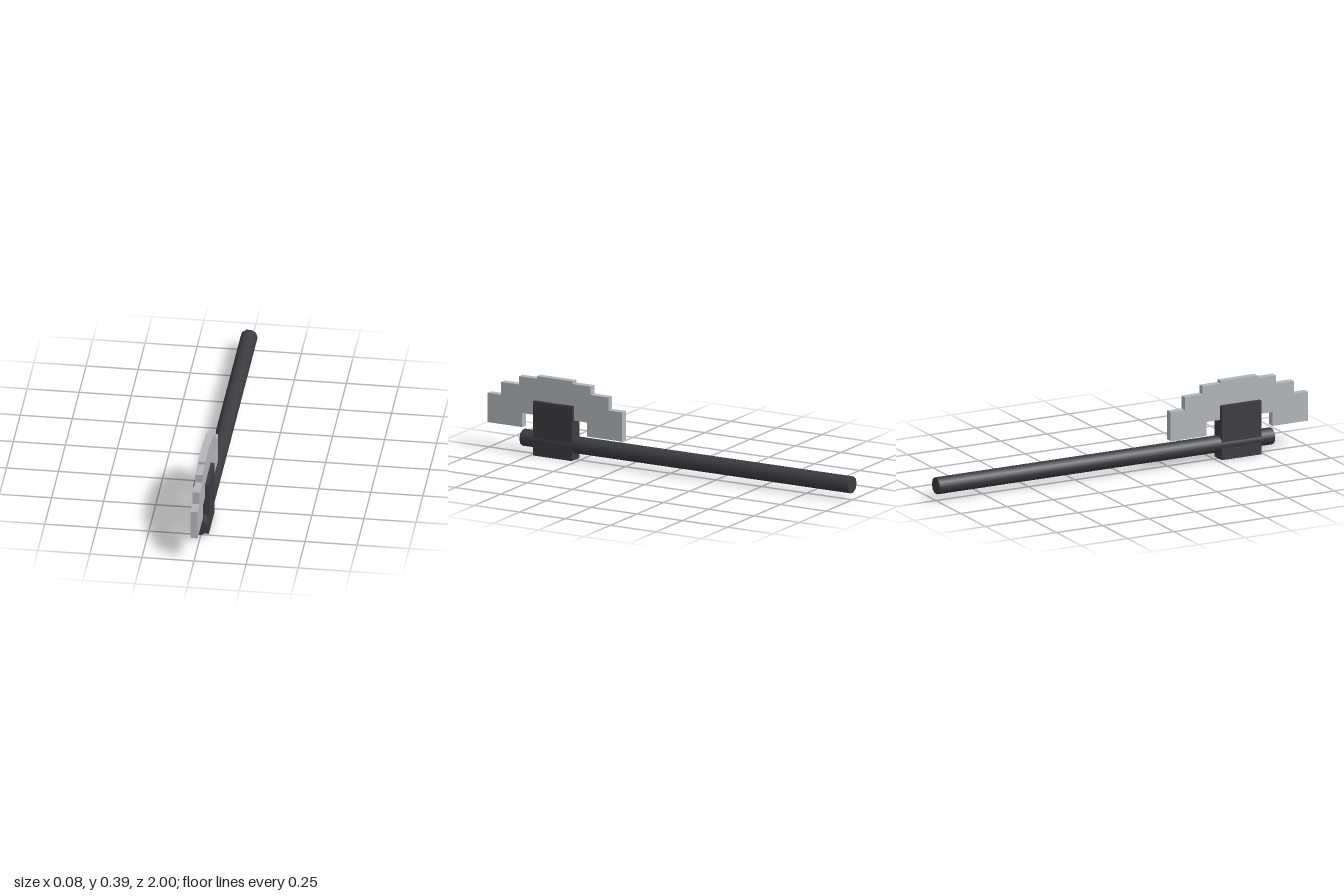
import * as THREE from 'three';

export function createModel() {
  const model = new THREE.Group();
  const dark = new THREE.MeshStandardMaterial({ name: 'darkMetal', color: 0x3d3c41 });
  const steel = new THREE.MeshStandardMaterial({ name: 'paleSteel', color: 0xb5b6ba });

  const add = (name, geometry, material, x, y, z) => {
    const mesh = new THREE.Mesh(geometry, material);
    mesh.name = name;
    mesh.position.set(x, y, z);
    model.add(mesh);
    return mesh;
  };

  // Ten-sided shaft lying along z, with corners pointing to the sides
  const shaft = new THREE.CylinderGeometry(0.041, 0.041, 1.81, 10);
  shaft.rotateY(Math.PI / 2).rotateX(Math.PI / 2);
  add('shaft', shaft, dark, 0, 0.073, -0.095);

  // Block that holds the blade on the shaft
  add('clamp', new THREE.BoxGeometry(0.073, 0.267, 0.214), dark, 0, 0.1335, 0.631);

  // Stepped blade: half outline as [distance from centre, height], mirrored
  const half = [
    [0.099, 0.387], [0.099, 0.374], [0.198, 0.374], [0.198, 0.333],
    [0.295, 0.333], [0.295, 0.27], [0.371, 0.27], [0.371, 0.126],
    [0.179, 0.126], [0.179, 0.195],
  ];
  const outline = [
    ...half.map(([d, y]) => new THREE.Vector2(d, y)),
    ...half.map(([d, y]) => new THREE.Vector2(-d, y)).reverse(),
  ];
  const thickness = 0.035;
  const blade = new THREE.ExtrudeGeometry(new THREE.Shape(outline), {
    depth: thickness, bevelEnabled: false,
  });
  blade.translate(0, 0, -thickness / 2).rotateY(-Math.PI / 2);
  add('blade', blade, steel, 0, 0, 0.629);

  return model;
}
